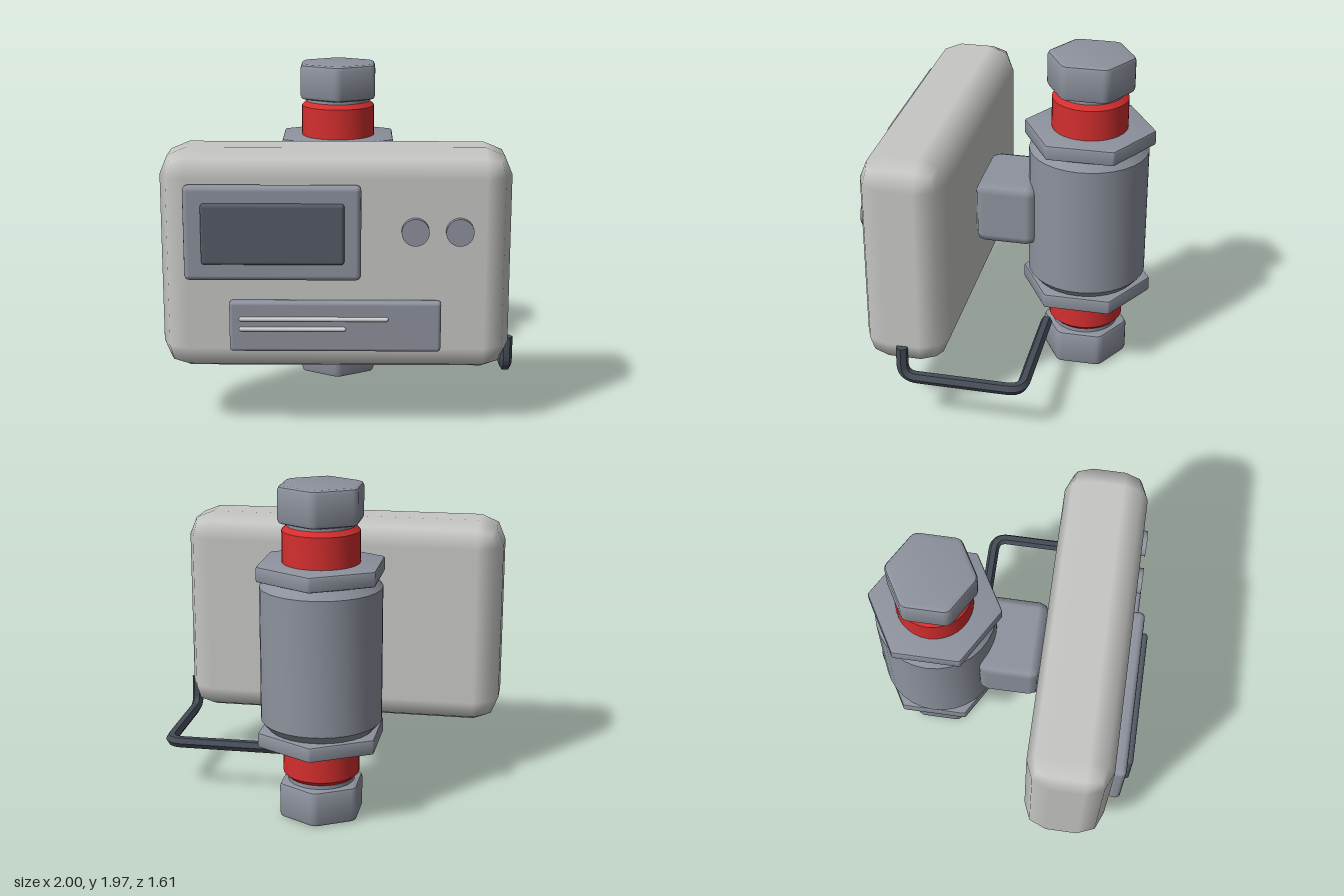
import * as THREE from 'three';
import { toCreasedNormals } from 'three/addons/utils/BufferGeometryUtils.js';
import { RoundedBoxGeometry } from 'three/addons/geometries/RoundedBoxGeometry.js';

const material = (name, color, extra = {}) => {
  const m = new THREE.MeshStandardMaterial({ color, ...extra });
  m.name = name;
  return m;
};

export function createModel() {
  const casing = material('light grey casing', 0xc6c6c4);
  const metal = material('grey metal', 0x8d929d);
  const red = material('red ring', 0xd42e2e);
  const screenDark = material('dark screen', 0x545b66);
  const steel = material('dark steel', 0x444c56, { flatShading: true });
  const trim = material('pale trim', 0xd4d5d6);

  const model = new THREE.Group();
  model.name = 'meterUnit';
  const add = (name, geometry, mat, parent = model) => {
    const mesh = new THREE.Mesh(geometry, mat);
    mesh.name = name;
    parent.add(mesh);
    return mesh;
  };

  // Rounded box given by its minimum and maximum corners
  const block = (name, mat, min, max, radius, segments = 1) => {
    const size = max.map((v, i) => v - min[i]);
    const mesh = add(name, new RoundedBoxGeometry(...size, segments, radius), mat);
    mesh.position.set(...max.map((v, i) => (v + min[i]) / 2));
    return mesh;
  };

  // Main case, its bracket and the front panels
  block('case', casing, [-1, 0.35, 0.22], [0.96, 1.62, 0.71], 0.15);
  block('bracket', metal, [-0.27, 0.79, -0.15], [0.22, 1.18, 0.22], 0.06);
  block('screenBezel', metal, [-0.855, 0.91, 0.7], [0.122, 1.445, 0.775], 0.03, 2);
  block('screen', screenDark, [-0.755, 1.01, 0.74], [0.03, 1.35, 0.808], 0.018, 2);
  block('lowerPanel', metal, [-0.61, 0.498, 0.7], [0.567, 0.788, 0.765], 0.02, 2);

  // Buttons
  for (const x of [0.42, 0.665]) {
    const button = add('button', new THREE.CylinderGeometry(0.077, 0.077, 0.06, 24), metal);
    button.rotation.x = Math.PI / 2;
    button.position.set(x, 1.18, 0.715);
  }

  // Raised bars on the lower panel
  for (const [y, x0, x1] of [[0.69, -0.555, 0.275], [0.632, -0.555, 0.04]]) {
    const bar = add('panelBar', new THREE.CapsuleGeometry(0.013, x1 - x0 - 0.026, 4, 10), trim);
    bar.rotation.z = Math.PI / 2;
    bar.position.set((x0 + x1) / 2, y, 0.768);
  }

  // Upright fitting behind the case
  const fitting = new THREE.Group();
  fitting.name = 'pipeFitting';
  fitting.position.set(-0.02, 0, -0.42);
  model.add(fitting);

  const turned = (name, mat, profile, segments = 32) => {
    const points = profile.map(([r, y]) => new THREE.Vector2(r, y));
    return add(name, toCreasedNormals(new THREE.LatheGeometry(points, segments), 0.5), mat, fitting);
  };

  // Hexagonal plate with softened corners, standing from y0 to y1
  const hex = (name, apothem, y0, y1, bevel, soft) => {
    const radius = (apothem - bevel) / Math.cos(Math.PI / 6);
    const corners = Array.from({ length: 6 }, (_, i) => {
      const a = Math.PI / 2 + i * Math.PI / 3;
      return new THREE.Vector2(Math.cos(a) * radius, Math.sin(a) * radius);
    });
    const shape = new THREE.Shape();
    corners.forEach((c, i) => {
      const a = c.clone().lerp(corners[(i + 5) % 6], soft);
      const b = c.clone().lerp(corners[(i + 1) % 6], soft);
      if (i === 0) shape.moveTo(a.x, a.y);
      else shape.lineTo(a.x, a.y);
      shape.quadraticCurveTo(c.x, c.y, b.x, b.y);
    });
    shape.closePath();
    const geometry = new THREE.ExtrudeGeometry(shape, {
      depth: y1 - y0 - 2 * bevel, bevelThickness: bevel, bevelSize: bevel,
      bevelSegments: 2, curveSegments: 3,
    });
    geometry.rotateX(-Math.PI / 2).translate(0, y0 + bevel, 0);
    return add(name, toCreasedNormals(geometry, 0.6), metal, fitting);
  };

  turned('barrel', metal, [[0, 0.5], [0.3, 0.53], [0.352, 0.59], [0.352, 1.38], [0.3, 1.44], [0, 1.47]]);

  hex('lowerNut', 0.2275, 0, 0.215, 0.025, 0.08);
  hex('upperNut', 0.2275, 1.75, 1.965, 0.025, 0.08);
  hex('lowerFlange', 0.337, 0.45, 0.54, 0.012, 0.012);
  hex('upperFlange', 0.337, 1.43, 1.52, 0.012, 0.012);

  turned('lowerNeck', metal, [[0.195, 0.19], [0.195, 0.27]]);
  turned('upperNeck', metal, [[0.195, 1.7], [0.195, 1.78]]);
  turned('lowerRing', red, [[0, 0.238], [0.195, 0.238], [0.223, 0.265], [0.223, 0.47]]);
  turned('upperRing', red, [[0.223, 1.5], [0.223, 1.703], [0.195, 1.73], [0, 1.73]]);

  // Bent hexagonal key running from the fitting round the side of the case
  const V = (x, y, z) => new THREE.Vector3(x, y, z);
  const stops = [V(0.225, 0.3, -0.225), V(0.965, 0.3, -0.225), V(0.965, 0.3, 0.465), V(0.965, 0.495, 0.465)];
  const path = new THREE.CurvePath();
  let from = stops[0];
  for (let i = 1; i < 3; i++) {
    const toward = (p) => stops[i].clone().add(p.clone().sub(stops[i]).setLength(0.085));
    const a = toward(stops[i - 1]);
    const b = toward(stops[i + 1]);
    path.add(new THREE.LineCurve3(from, a));
    path.add(new THREE.QuadraticBezierCurve3(a, stops[i], b));
    from = b;
  }
  path.add(new THREE.LineCurve3(from, stops[3]));
  const key = new THREE.Group();
  key.name = 'hexKey';
  model.add(key);
  add('keyShaft', new THREE.TubeGeometry(path, 80, 0.035, 6), steel, key);

  // End faces of the key
  const startCap = add('keyEnd', new THREE.CircleGeometry(0.035, 6), steel, key);
  startCap.position.copy(stops[0]);
  startCap.rotation.y = -Math.PI / 2;
  const tipCap = add('keyTip', new THREE.CircleGeometry(0.035, 6), steel, key);
  tipCap.position.copy(stops[3]);
  tipCap.rotation.x = -Math.PI / 2;

  return model;
}
